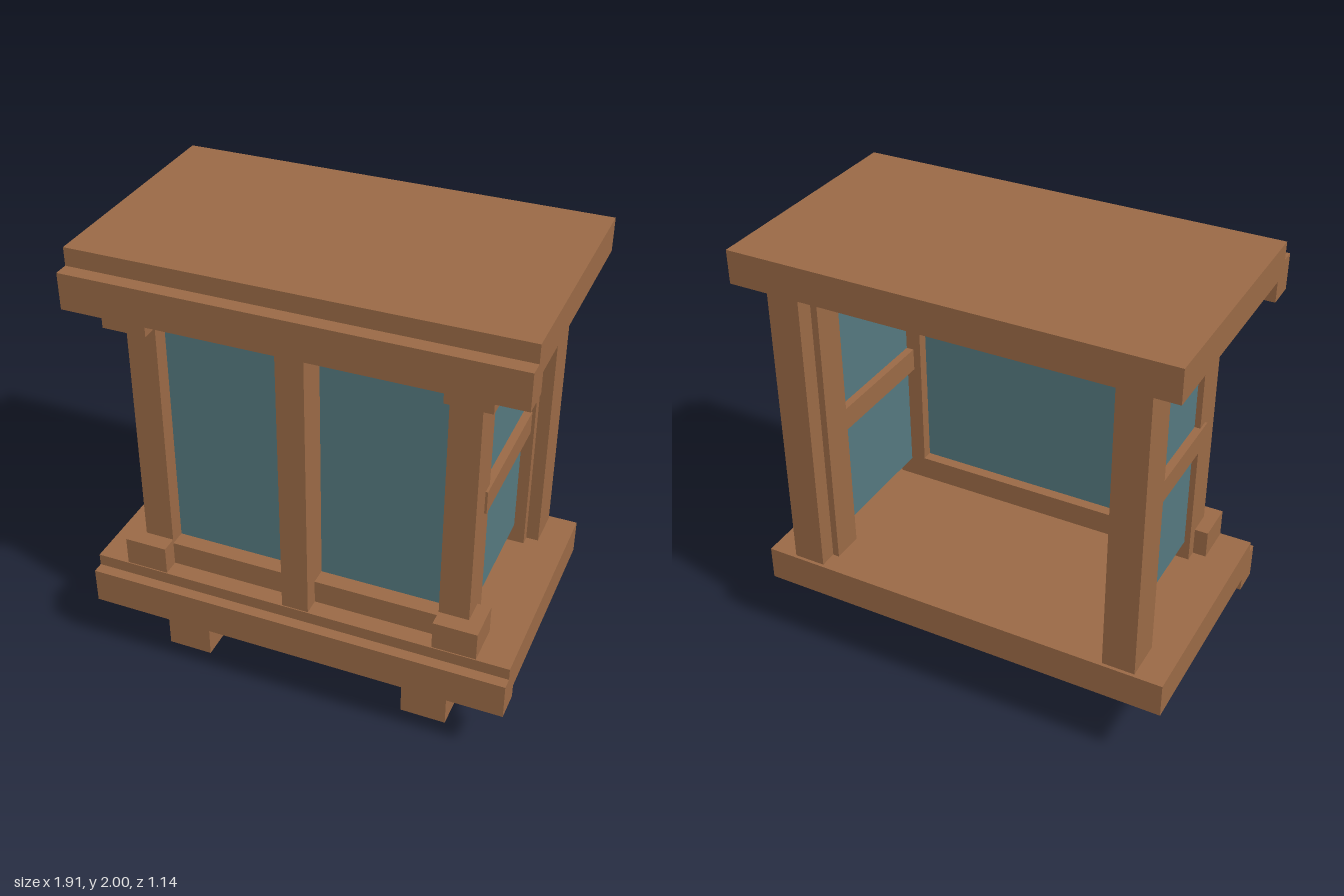
import * as THREE from 'three';

export function createModel() {
  const model = new THREE.Group();
  model.name = 'glazedCabinet';

  const wood = new THREE.MeshStandardMaterial({ color: 0x9b6a46 });
  wood.name = 'wood';
  const glass = new THREE.MeshStandardMaterial({ color: 0x55797f });
  glass.name = 'glass';

  // Box given by its extents on each axis
  function box(name, [x0, x1], [y0, y1], [z0, z1], material = wood) {
    const mesh = new THREE.Mesh(new THREE.BoxGeometry(x1 - x0, y1 - y0, z1 - z0), material);
    mesh.position.set((x0 + x1) / 2, (y0 + y1) / 2, (z0 + z1) / 2);
    mesh.name = name;
    model.add(mesh);
  }

  // Box on the left side and its mirror image on the right
  function pair(name, [x0, x1], y, z, material) {
    box(name + 'Left', [x0, x1], y, z, material);
    box(name + 'Right', [-x1, -x0], y, z, material);
  }

  // Roof and base slabs, each with a stepped front lip
  const wide = [-0.953, 0.953];
  box('roof', wide, [1.853, 2], [-0.57, 0.505]);
  box('roofLip', wide, [1.76, 1.92], [0.44, 0.57]);
  box('base', wide, [0.325, 0.485], [-0.525, 0.52]);
  box('baseLip', wide, [0.265, 0.43], [0.44, 0.57]);

  // Feet with wider pads under the base
  pair('foot', [0.465, 0.67], [0, 0.325], [0, 0.445]);
  pair('footPad', [0.435, 0.70], [0.225, 0.325], [0.12, 0.44]);

  // Front frame: posts, corner blocks, centre post and rails
  pair('frontPost', [0.615, 0.746], [0.485, 1.845], [0.275, 0.44]);
  pair('lowerCornerBlock', [0.615, 0.807], [0.485, 0.615], [0.33, 0.515]);
  pair('upperCornerBlock', [0.615, 0.807], [1.68, 1.853], [0.33, 0.515]);
  box('centrePost', [-0.06, 0.06], [0.485, 1.853], [0.365, 0.515]);
  box('frontBottomRail', [-0.615, 0.615], [0.485, 0.595], [0.275, 0.44]);
  box('frontTopRail', [-0.615, 0.615], [1.685, 1.845], [0.275, 0.44]);

  // Back posts with inner posts that hold the side panes
  pair('backPost', [0.68, 0.825], [0.485, 1.853], [-0.51, -0.33]);
  pair('innerBackPost', [0.65, 0.77], [0.485, 1.835], [-0.43, -0.285]);

  // Side rails
  pair('sideRail', [0.65, 0.756], [1.085, 1.19], [-0.285, 0.33]);

  // Window panes
  box('frontPane', [-0.615, 0.615], [0.595, 1.685], [0.325, 0.365], glass);
  pair('sidePane', [0.685, 0.72], [0.575, 1.705], [-0.285, 0.275], glass);

  return model;
}
